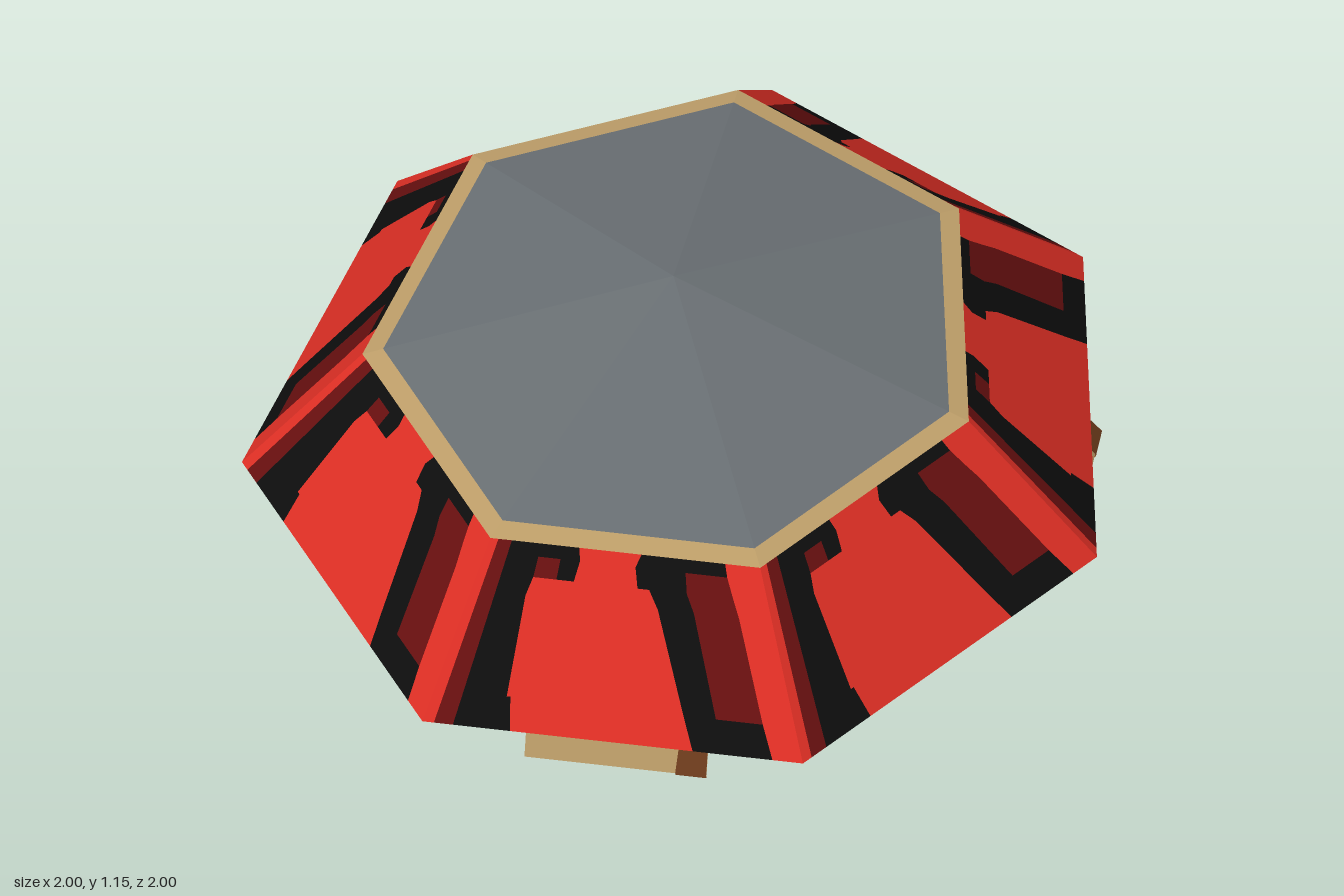
import * as THREE from 'three';

const mat = (name, color) => {
  const m = new THREE.MeshStandardMaterial({ color, side: THREE.DoubleSide, flatShading: true });
  m.name = name;
  return m;
};

// Collects flat polygons (counter-clockwise from outside) into one mesh
function polyMesh(name, polys, material) {
  const pos = [];
  for (const p of polys)
    for (let i = 1; i < p.length - 1; i++)
      for (const v of [p[0], p[i], p[i + 1]]) pos.push(v.x, v.y, v.z);
  const g = new THREE.BufferGeometry();
  g.setAttribute('position', new THREE.Float32BufferAttribute(pos, 3));
  g.computeVertexNormals();
  const mesh = new THREE.Mesh(g, material);
  mesh.name = name;
  return mesh;
}

const V = (x, y, z) => new THREE.Vector3(x, y, z);
const mix = (a, b, t) => a.clone().lerp(b, t);

// Painted rows of one skirt panel: height range, colours, and edges at the row's foot and head
const ROWS = [
  [0, 0.18, 'RDKRKR', [0.03, 0.08, 0.23, 0.71, 0.92], [0.03, 0.08, 0.21, 0.69, 0.91]],
  [0.18, 0.72, 'RDKRKDR', [0.03, 0.08, 0.20, 0.69, 0.78, 0.91], [0.03, 0.08, 0.18, 0.62, 0.74, 0.89]],
  [0.72, 0.82, 'RDKRKDR', [0.03, 0.08, 0.18, 0.62, 0.74, 0.89], [0.03, 0.08, 0.19, 0.59, 0.72, 0.88]],
  [0.82, 0.93, 'RDKDKRKDR', [0.03, 0.08, 0.19, 0.27, 0.33, 0.55, 0.72, 0.88],
    [0.03, 0.08, 0.19, 0.27, 0.34, 0.54, 0.72, 0.87]],
  [0.93, 1, 'RDKRKR', [0.03, 0.08, 0.34, 0.54, 0.87], [0.03, 0.08, 0.33, 0.56, 0.87]],
];

export function createModel() {
  const red = mat('red', 0xe43026);
  const darkRed = mat('dark red', 0x6a1010);
  const black = mat('black', 0x0e0e0e);
  const grey = mat('grey', 0x666c70);
  const tan = mat('tan', 0xb99a66);
  const brown = mat('brown', 0x6e3c1c);

  const model = new THREE.Group();
  model.name = 'tiltedCap';
  // Everything is built upright on a leaning axis
  const body = new THREE.Group();
  body.name = 'body';
  body.position.set(0.09, 0.058, -0.07);
  body.rotation.set(0.303, -Math.PI / 4, 0, 'YXZ');
  model.add(body);

  // Seven-sided cap
  const ring = (r, h) => Array.from({ length: 8 }, (_, i) => {
    const a = (i - 0.5) * Math.PI * 2 / 7;
    return V(r * Math.sin(a), h, r * Math.cos(a));
  });
  const rim = ring(1.06, 0.53), shoulder = ring(0.752, 0.904), apex = V(0, 1.12, 0);
  const paint = { R: [], D: [], K: [] }, dome = [], band = [];
  for (let i = 0; i < 7; i++) {
    const a = rim[i], b = rim[i + 1], c = shoulder[i + 1], d = shoulder[i];
    const at = (u, v) => mix(mix(a, b, u), mix(d, c, u), v);
    for (const [v0, v1, colours, low, high] of ROWS) {
      const l = [0, ...low, 1], h = [0, ...high, 1];
      [...colours].forEach((k, j) =>
        paint[k].push([at(l[j], v0), at(l[j + 1], v0), at(h[j + 1], v1), at(h[j], v1)]));
    }
    const e = mix(d, apex, 0.067), f = mix(c, apex, 0.067);
    band.push([d, c, f, e]);
    dome.push([e, f, apex]);
  }
  body.add(
    polyMesh('skirtPanels', paint.R, red),
    polyMesh('skirtInsets', paint.D, darkRed),
    polyMesh('skirtStripes', paint.K, black),
    polyMesh('domeBand', band, tan),
    polyMesh('dome', dome, grey),
  );

  // Square tapering stalk and its open foot
  const squareTube = (name, top, bottom, y0, y1, material) => {
    const g = new THREE.CylinderGeometry(top * Math.SQRT2, bottom * Math.SQRT2, y1 - y0, 4, 1, true);
    g.rotateY(Math.PI / 4);
    g.translate(0, (y0 + y1) / 2, 0);
    const mesh = new THREE.Mesh(g, material);
    mesh.name = name;
    body.add(mesh);
  };
  squareTube('stalk', 0.015, 0.172, 0.077, 1.08, grey);
  squareTube('foot', 0.172, 0.195, 0, 0.077, tan);

  // Four wedge-shaped struts under the cap, each with a brown corner mark
  const w = 0.22, tip = V(0, 0.02, 0);
  const bl = V(-w, 0.433, 0.95), br = V(w, 0.433, 0.95);
  const tr = V(w, 0.72, 0.745), tl = V(-w, 0.72, 0.745);
  const cornerMark = (corner, along, inward, normal) => {
    const o = corner.clone().addScaledVector(normal, 0.004);
    const p = (s, t) => o.clone().addScaledVector(along, s).addScaledVector(inward, t);
    return [o, p(0.075, 0), p(0.07, 0.065), p(0.045, 0.095), p(0, 0.1)];
  };
  const left = V(-1, 0, 0);
  const upEnd = tr.clone().sub(br).normalize();
  const toTip = tip.clone().sub(br).normalize();
  const endNormal = V(1, 0, 0).cross(upEnd);
  const underNormal = V(0, -0.917, 0.399);
  for (let i = 0; i < 4; i++) {
    const strut = new THREE.Group();
    strut.name = 'strut' + (i + 1);
    strut.rotation.y = i * Math.PI / 2;
    strut.add(
      polyMesh('strutWedge', [
        [bl, br, tr, tl], [tip, br, bl], [tip, tr, br], [tip, tl, tr], [tip, bl, tl],
      ], tan),
      polyMesh('strutMarks', [
        cornerMark(br, left, upEnd, endNormal).reverse(),
        cornerMark(br, left, toTip, underNormal),
      ], brown),
    );
    body.add(strut);
  }
  return model;
}
